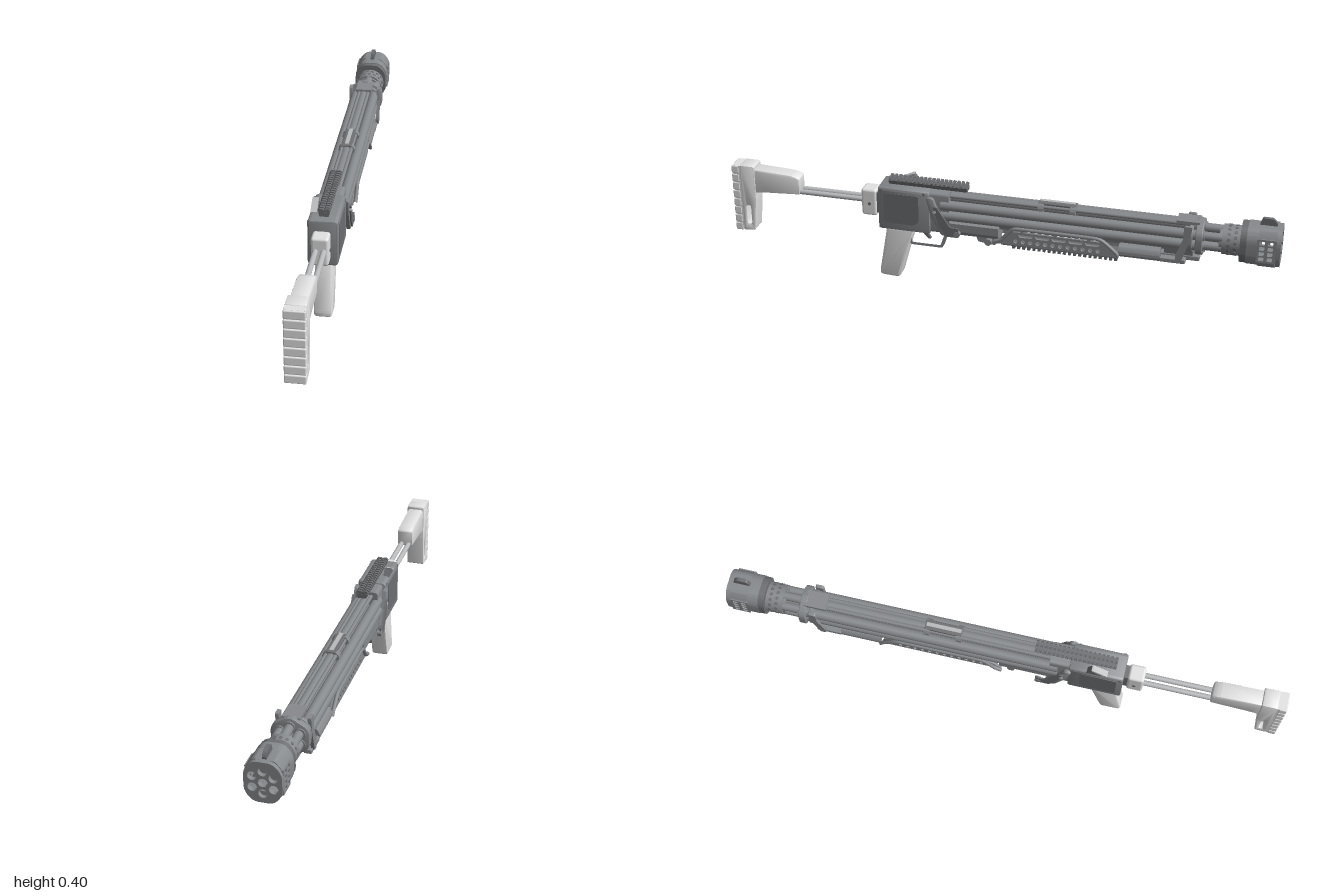
import * as THREE from 'three';
import { toCreasedNormals } from 'three/addons/utils/BufferGeometryUtils.js';
import { RoundedBoxGeometry } from 'three/addons/geometries/RoundedBoxGeometry.js';

const mat = (name, color) => Object.assign(new THREE.MeshStandardMaterial({ color }), { name });
const light = mat('light polymer', 0xe2e2e2);
const gun = mat('gunmetal', 0x878a8d);
const dark = mat('dark metal', 0x6d6f72);
const steel = mat('steel', 0xb8babc);

// Closed polygon with corners rounded by r
function roundPoly(pts, r = 0, Type = THREE.Shape) {
  const s = new Type();
  const v = pts.map(p => new THREE.Vector2(...p));
  v.forEach((p, i) => {
    const a = v[(i + v.length - 1) % v.length], b = v[(i + 1) % v.length];
    const toward = q => p.clone().add(q.clone().sub(p).setLength(Math.min(r, p.distanceTo(q) / 2.1)));
    const from = r ? toward(a) : p, to = r ? toward(b) : p;
    if (i) s.lineTo(from.x, from.y); else s.moveTo(from.x, from.y);
    if (r) s.quadraticCurveTo(p.x, p.y, to.x, to.y);
  });
  s.closePath();
  return s;
}
const rectPts = (a0, a1, b0, b1) => [[a0, b0], [a1, b0], [a1, b1], [a0, b1]];
const roundHole = (a, b, r) => new THREE.Path().absarc(a, b, r, 0, Math.PI * 2, true);

export function createModel() {
  const root = new THREE.Group();
  root.name = 'longGun';
  const add = (name, geo, material) => {
    const m = new THREE.Mesh(geo, material);
    m.name = name;
    root.add(m);
    return m;
  };
  const box = (name, material, x0, x1, y0, y1, z0, z1, r = 0) => {
    const d = [x1 - x0, y1 - y0, z1 - z0];
    const g = r ? new RoundedBoxGeometry(...d, 2, r) : new THREE.BoxGeometry(...d);
    return add(name, g.translate((x0 + x1) / 2, (y0 + y1) / 2, (z0 + z1) / 2), material);
  };
  const extrude = (shape, depth, bevel) => {
    const g = new THREE.ExtrudeGeometry(shape, {
      depth: depth - 2 * bevel, bevelEnabled: bevel > 0, bevelSize: bevel, bevelThickness: bevel,
      bevelOffset: -bevel, bevelSegments: 2, curveSegments: 8,
    }).translate(0, 0, bevel - depth / 2);
    return toCreasedNormals(g, 0.6);
  };
  // Side profile in (z, y), extruded across x
  const side = (name, material, pts, width, { x = 0, r = 0, bevel = 0, holes = [] } = {}) => {
    const s = roundPoly(pts, r);
    s.holes.push(...holes);
    return add(name, extrude(s, width, bevel).rotateY(-Math.PI / 2).translate(x, 0, 0), material);
  };
  // Cross-section in (x, y), extruded along z
  const along = (name, material, pts, z0, z1, { r = 0, bevel = 0, holes = [] } = {}) => {
    const s = roundPoly(pts, r);
    s.holes.push(...holes);
    return add(name, extrude(s, z1 - z0, bevel).translate(0, 0, (z0 + z1) / 2), material);
  };
  const rod = (name, material, x, y, z0, z1, r, n = 20) =>
    add(name, new THREE.CylinderGeometry(r, r, z1 - z0, n).rotateX(Math.PI / 2).translate(x, y, (z0 + z1) / 2), material);
  const cross = (name, material, x, y, z, r, len) =>
    add(name, new THREE.CylinderGeometry(r, r, len, 16).rotateZ(Math.PI / 2).translate(x, y, z), material);
  const sides = [1, -1];

  // Shoulder stock with a slotted leg and ribbed pad
  side('stockLeg', light, [[0.968, 0.385], [0.912, 0.385], [0.912, 0.25], [0.925, 0.125], [0.968, 0.12]], 0.068, {
    r: 0.006, bevel: 0.004, holes: [roundPoly([[0.936, 0.225], [0.952, 0.225], [0.952, 0.15], [0.936, 0.15]], 0.006, THREE.Path)],
  });
  side('stockCheek', light, [[0.92, 0.373], [0.77, 0.365], [0.74, 0.355], [0.74, 0.29], [0.87, 0.282], [0.92, 0.275]], 0.06,
    { r: 0.008, bevel: 0.008 });
  box('padBase', light, -0.033, 0.033, 0.124, 0.382, 0.965, 0.994);
  for (let i = 0; i < 8; i++) {
    const y = 0.12 + i * 0.0331;
    box('padRib', light, -0.035, 0.035, y, y + 0.03, 0.972, 1.0, 0.004);
  }
  sides.forEach(s => rod('stockRod', steel, s * 0.014, 0.298, 0.49, 0.75, 0.0095));
  box('stockAdapter', light, -0.03, 0.03, 0.242, 0.346, 0.445, 0.503, 0.01);
  sides.forEach(s => cross('adapterPin', dark, s * 0.03, 0.29, 0.472, 0.006, 0.004));
  box('stockMount', dark, -0.024, 0.024, 0.255, 0.335, 0.42, 0.45);

  // Receiver
  along('receiver', gun, rectPts(-0.052, 0.052, 0.205, 0.373), 0.24, 0.432, { r: 0.014, bevel: 0.006 });
  along('receiverNose', gun, rectPts(-0.042, 0.042, 0.21, 0.368), 0.17, 0.245, { r: 0.014 });
  sides.forEach(s => {
    side('receiverPanel', dark, [[0.41, 0.235], [0.41, 0.352], [0.28, 0.352], [0.28, 0.25], [0.30, 0.235]], 0.004,
      { x: s * 0.0515, r: 0.008 });
    [[0.42, 0.362], [0.26, 0.362], [0.42, 0.222]].forEach(([z, y]) => cross('receiverPin', dark, s * 0.051, y, z, 0.005, 0.004));
    // Angled side bracket in front of the receiver
    side('sideBracket', gun, [[0.25, 0.355], [0.225, 0.355], [0.20, 0.29], [0.16, 0.235], [0.16, 0.213], [0.195, 0.213], [0.235, 0.29]],
      0.014, { x: s * 0.054, r: 0.008, bevel: 0.002 });
    side('bracketPlate', dark, [[0.225, 0.325], [0.21, 0.325], [0.16, 0.25], [0.13, 0.25], [0.13, 0.213], [0.175, 0.213], [0.2, 0.25]],
      0.006, { x: s * 0.063, r: 0.006 });
    cross('bracketBolt', steel, s * 0.063, 0.305, 0.217, 0.006, 0.01);
    cross('bracketBolt', gun, s * 0.06, 0.226, 0.135, 0.011, 0.016);
  });

  // Top rail with teeth
  along('topRail', dark, [[-0.015, 0.372], [0.015, 0.372], [0.02, 0.388], [-0.02, 0.388]], 0.11, 0.40);
  for (let i = 0; i < 19; i++) {
    const z = 0.111 + i * 0.0155;
    along('topRailTooth', dark, [[-0.014, 0.386], [0.014, 0.386], [0.022, 0.393], [0.016, 0.4], [0.004, 0.4], [0, 0.396],
      [-0.004, 0.4], [-0.016, 0.4], [-0.022, 0.393]], z, z + 0.009);
  }
  // Small tilted lever at the rear of the receiver top
  side('leverBase', dark, [[0.36, 0.37], [0.32, 0.396], [0.30, 0.37]], 0.022, { x: -0.039 });
  side('leverFace', steel, [[0.375, 0.374], [0.325, 0.4], [0.318, 0.4], [0.365, 0.37]], 0.022, { x: -0.039 });

  // Grip, trigger and guard
  side('grip', light, [[0.41, 0.205], [0.305, 0.205], [0.325, 0.15], [0.365, 0.004], [0.375, 0], [0.44, 0.003], [0.442, 0.02]], 0.062,
    { r: 0.014, bevel: 0.009 });
  side('triggerGuard', gun, [[0.335, 0.21], [0.325, 0.136], [0.205, 0.136], [0.18, 0.21]], 0.026, {
    r: 0.006, holes: [roundPoly([[0.327, 0.204], [0.318, 0.146], [0.212, 0.146], [0.193, 0.204]], 0.005, THREE.Path)],
  });
  side('trigger', dark, [[0.285, 0.21], [0.265, 0.21], [0.262, 0.185], [0.25, 0.165], [0.258, 0.163], [0.275, 0.18]], 0.012);

  // Barrel cluster: six around one
  const ring = [[0, 0.302]];
  for (let i = 0; i < 6; i++) {
    const a = Math.PI / 2 + i * Math.PI / 3;
    ring.push([Math.cos(a) * 0.0395, 0.302 + Math.sin(a) * 0.0395]);
  }
  ring.forEach(([x, y]) => {
    rod('barrel', gun, x, y, -0.74, 0.2, 0.0185);
    rod('muzzleBarrel', gun, x * 0.92, 0.302 + (y - 0.302) * 0.92, -0.88, -0.73, 0.0155);
  });
  sides.forEach(s => rod('topGasRod', gun, s * 0.017, 0.352, -0.7, 0.2, 0.007, 10));

  // Saddle clamps with a flat bar on top
  [-0.16, -0.275].forEach(z => along('barrelClamp', gun,
    [[-0.03, 0.335], [0.03, 0.335], [0.03, 0.352], [0.018, 0.365], [-0.018, 0.365], [-0.03, 0.352]], z - 0.01, z + 0.01, { r: 0.006 }));
  box('clampBar', dark, -0.018, 0.018, 0.355, 0.366, -0.285, -0.15, 0.003);
  box('clampBarStrip', steel, -0.007, 0.007, 0.365, 0.371, -0.28, -0.155);

  // Lower body, open behind the handguard
  along('lowerBodyRear', gun, [[-0.028, 0.207], [0.028, 0.207], [0.042, 0.225], [0.042, 0.255], [-0.042, 0.255], [-0.042, 0.225]], -0.01, 0.2);
  along('lowerBodyFront', gun, [[-0.046, 0.208], [0.046, 0.208], [0.054, 0.218], [0.054, 0.23], [0.044, 0.25], [-0.044, 0.25],
    [-0.054, 0.23], [-0.054, 0.218]], -0.59, -0.445, { r: 0.004 });
  box('lowerKeel', dark, -0.02, 0.02, 0.245, 0.27, -0.7, 0.1);
  side('pivotBlock', gun, [[0.08, 0.21], [0.07, 0.182], [0.01, 0.175], [-0.01, 0.19], [-0.01, 0.21]], 0.03, { r: 0.004 });
  cross('pivotPin', gun, 0, 0.192, 0.03, 0.013, 0.068);

  // Perforated handguard with side rods
  sides.forEach(s => {
    const holes = [];
    for (let i = 0; i < 12; i++) holes.push(roundHole(-0.075 - i * 0.027, 0.216, 0.008));
    for (let i = 0; i < 5; i++) {
      const z = -0.09 - i * 0.06;
      holes.push(roundPoly([[z, 0.233], [z - 0.044, 0.233], [z - 0.05, 0.243], [z + 0.005, 0.243]], 0.003, THREE.Path));
    }
    side('handguardPanel', gun, [[0.0, 0.2], [-0.01, 0.215], [-0.055, 0.252], [-0.39, 0.252], [-0.44, 0.215], [-0.44, 0.2]], 0.008,
      { x: s * 0.04, r: 0.005, holes });
    const path = new THREE.CatmullRomCurve3([[0.0, 0.212], [-0.025, 0.222], [-0.06, 0.262], [-0.09, 0.27], [-0.35, 0.27], [-0.39, 0.262], [-0.435, 0.225],
      [-0.445, 0.213]].map(([z, y]) => new THREE.Vector3(s * 0.052, y, z)), false, 'catmullrom', 0.3);
    add('handguardRod', new THREE.TubeGeometry(path, 40, 0.007, 8), gun);
    [-0.1, -0.22, -0.34].forEach(z => cross('rodStandoff', gun, s * 0.045, 0.262, z, 0.007, 0.016));
  });
  box('bottomRail', dark, -0.034, 0.034, 0.191, 0.203, -0.44, -0.02);
  for (let i = 0; i < 21; i++) {
    const z = -0.438 + i * 0.0185;
    box('bottomRailTooth', dark, -0.025, 0.025, 0.176, 0.192, z, z + 0.01);
  }

  // Front collar with struts and a slim foot
  const hex = k => ring.slice(1).map(([x, y]) => [x * k, 0.302 + (y - 0.302) * k]);
  [[-0.735, -0.71, 1.88], [-0.7, -0.685, 1.72]].forEach(([a, b, k]) => along('frontCollar', gun, hex(k), a, b, { r: 0.024, bevel: 0.003 }));
  box('collarBridge', gun, -0.03, 0.03, 0.355, 0.366, -0.72, -0.64);
  sides.forEach(s => {
    side('collarStrut', gun, [[-0.7, 0.36], [-0.67, 0.36], [-0.67, 0.31], [-0.645, 0.245], [-0.645, 0.22], [-0.665, 0.22], [-0.69, 0.3]], 0.012,
      { x: s * 0.054, r: 0.006 });
    box('footBar', gun, s * 0.04 - 0.014, s * 0.04 + 0.014, 0.211, 0.228, -0.68, -0.59, 0.004);
  });
  box('frontFoot', gun, -0.02, 0.02, 0.211, 0.23, -0.725, -0.58, 0.004);
  box('footCrossbar', gun, -0.05, 0.05, 0.213, 0.226, -0.67, -0.645);
  box('footBlock', dark, -0.018, 0.018, 0.228, 0.265, -0.7, -0.6);

  // Perforated sleeve behind the muzzle
  rod('sleeve', gun, 0, 0.302, -0.865, -0.8, 0.053, 28);
  rod('sleeveLip', gun, 0, 0.302, -0.803, -0.79, 0.046, 28);
  for (let i = 0; i < 32; i++) {
    const a = (i >> 1) * Math.PI / 8 + (i % 2) * Math.PI / 16;
    const dot = add('sleeveHole', new THREE.CylinderGeometry(0.006, 0.006, 0.004, 10), dark);
    dot.position.set(Math.cos(a) * 0.052, 0.302 + Math.sin(a) * 0.052, i % 2 ? -0.845 : -0.822);
    dot.rotation.z = a - Math.PI / 2;
  }

  // Muzzle brake: back block, windowed sides, caps and a drilled front plate
  const outline = [[-0.062, 0.265], [-0.034, 0.23], [0.034, 0.23], [0.062, 0.265], [0.062, 0.34], [0.034, 0.375], [-0.034, 0.375], [-0.062, 0.34]];
  along('brakeBand', dark, outline.map(([x, y]) => [x * 0.97, 0.302 + (y - 0.302) * 0.97]), -0.885, -0.862, { r: 0.02 });
  along('brakeBack', gun, outline, -0.925, -0.884, { r: 0.02 });
  along('brakeFront', gun, outline, -1.0, -0.984, { r: 0.02, holes: ring.map(([x, y]) => roundHole(x, y, 0.0155)) });
  along('brakeTop', gun, [[0.062, 0.343], [0.036, 0.375], [-0.036, 0.375], [-0.062, 0.343]], -0.985, -0.924, { r: 0.008 });
  along('brakeBottom', gun, [[-0.062, 0.262], [-0.036, 0.23], [0.036, 0.23], [0.062, 0.262]], -0.985, -0.924, { r: 0.008 });
  sides.forEach(s => {
    const holes = [];
    [-0.937, -0.966].forEach(z => [0.272, 0.292, 0.312, 0.332].forEach(y =>
      holes.push(roundPoly(rectPts(z - 0.009, z + 0.009, y - 0.007, y + 0.007), 0.003, THREE.Path))));
    side('brakeSide', gun, rectPts(-0.986, -0.92, 0.258, 0.347), 0.008, { x: s * 0.058, holes });
  });
  side('frontSight', dark, [[-0.92, 0.373], [-0.93, 0.4], [-0.965, 0.4], [-0.98, 0.385], [-0.98, 0.373]], 0.014, { r: 0.004 });

  // Centre on z and stand on y = 0
  const b = new THREE.Box3().setFromObject(root);
  root.children.forEach(m => m.position.add(new THREE.Vector3(0, -b.min.y, -(b.min.z + b.max.z) / 2)));
  return root;
}
